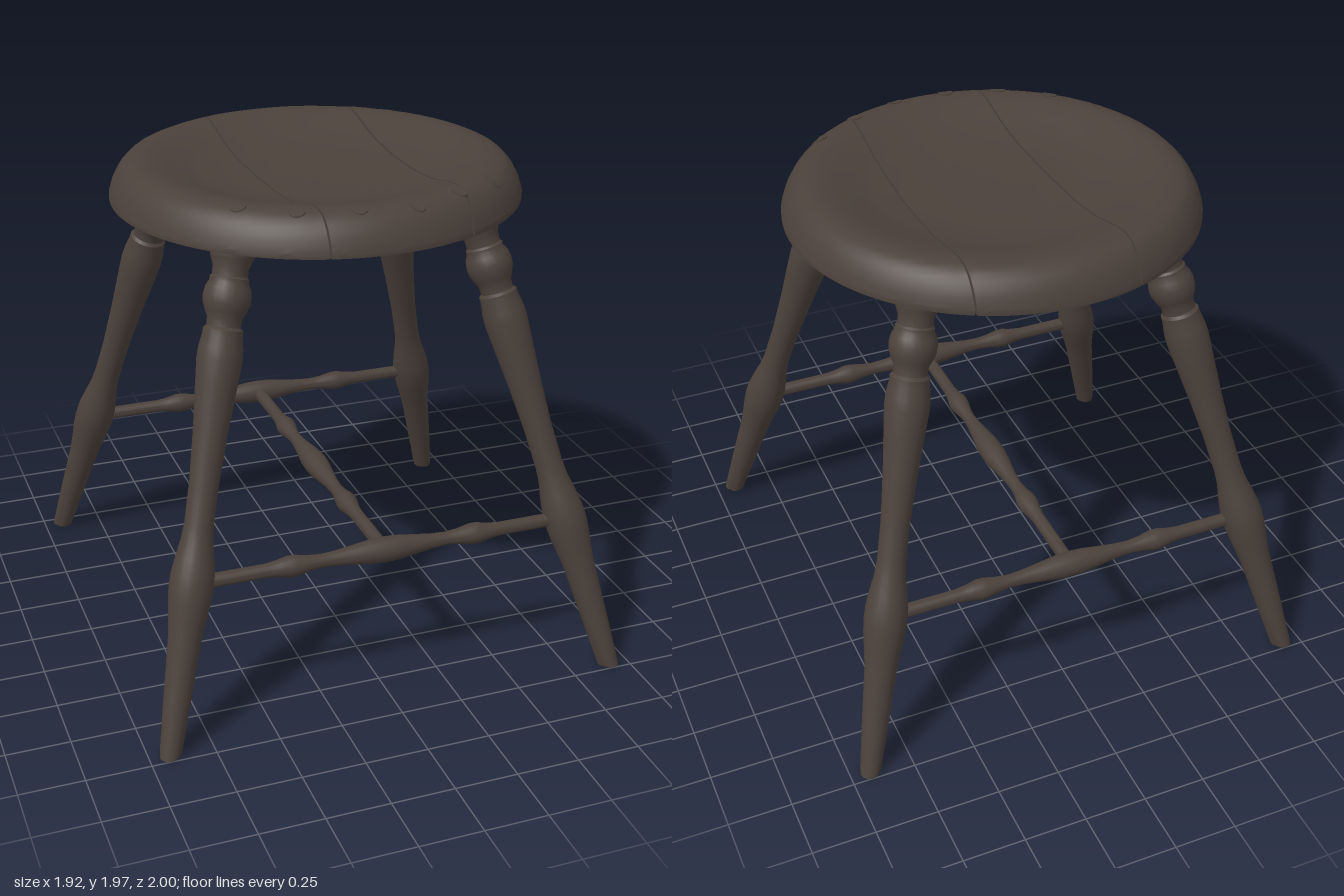
import * as THREE from 'three';
import { toCreasedNormals } from 'three/addons/utils/BufferGeometryUtils.js';

const darkWood = new THREE.MeshStandardMaterial({ color: 0x4b413b });
darkWood.name = 'darkWood';

const R = 0.81; // seat radius

// Seat height by distance from the centre: dished top, rounded rim, bevelled underside
const TOP = [[0, 1.89], [0.2, 1.892], [0.36, 1.9], [0.48, 1.92], [0.56, 1.944], [0.62, 1.961], [0.67, 1.969],
  [0.71, 1.965], [0.745, 1.95], [0.775, 1.918], [0.797, 1.878], [R, 1.838]];
const BOTTOM = [[0, 1.79], [0.58, 1.795], [0.65, 1.81], [R, 1.82]];

function lookUp(profile, r) {
  for (let i = 1; i < profile.length; i++) {
    const [r0, y0] = profile[i - 1], [r1, y1] = profile[i];
    if (r <= r1) return y0 + (y1 - y0) * (r - r0) / (r1 - r0);
  }
  return profile[profile.length - 1][1];
}
const seatY = (profile, x, z) => lookUp(profile, Math.hypot(x, z)) + 0.006 * (x - z);

function makeMesh(name, geometry, crease = 0.6) {
  const mesh = new THREE.Mesh(toCreasedNormals(geometry, crease), darkWood);
  mesh.name = name;
  return mesh;
}

// One seat plank between two nearly straight lines x = c + m * z
function plankGeometry([c0, m0], [c1, m1]) {
  const K = 44, S = 26, positions = [], index = [];
  const a0 = Math.asin(c0 / R), a1 = Math.asin(c1 / R);
  for (let s = 0; s <= S; s++) {
    const t = s / S;
    const c = R * Math.sin(a0 + (a1 - a0) * t), m = m0 + (m1 - m0) * t;
    // where the line meets the rim circle
    const mid = -c * m / (1 + m * m);
    const half = Math.sqrt(Math.max(0, R * R * (1 + m * m) - c * c)) / (1 + m * m);
    for (let j = 0; j < 2 * K; j++) {
      const k = j < K ? j : 2 * K - 1 - j;
      const z = mid + half * Math.sin((k / (K - 1) - 0.5) * Math.PI);
      const x = c + m * z;
      positions.push(x, seatY(j < K ? TOP : BOTTOM, x, z), z);
    }
  }
  const N = 2 * K;
  for (let s = 0; s < S; s++) {
    for (let j = 0; j < N; j++) {
      const a = s * N + j, b = s * N + (j + 1) % N;
      index.push(a, b, a + N, b, b + N, a + N);
    }
  }
  // cut faces along the joints
  for (let j = 0; j < K - 1; j++) {
    const p = j, q = j + 1, u = N - 1 - j, v = N - 2 - j, e = S * N;
    index.push(p, v, q, p, u, v);
    index.push(e + p, e + q, e + v, e + p, e + v, e + u);
  }
  const g = new THREE.BufferGeometry();
  g.setAttribute('position', new THREE.Float32BufferAttribute(positions, 3));
  g.setIndex(index);
  return g;
}

// Peg whose ends follow the seat surface
function pegGeometry(x, z) {
  const g = new THREE.CylinderGeometry(0.031, 0.031, 1, 16);
  const p = g.attributes.position;
  for (let i = 0; i < p.count; i++) {
    const px = p.getX(i) + x, pz = p.getZ(i) + z;
    p.setXYZ(i, px, p.getY(i) > 0 ? seatY(TOP, px, pz) + 0.004 : seatY(BOTTOM, px, pz) - 0.004, pz);
  }
  return g;
}

const lathe = (points, sides) =>
  new THREE.LatheGeometry(points.map(([r, y]) => new THREE.Vector2(r, y)), sides);

// Turned leg: radius and height
const LEG = [[0, -0.02], [0.036, -0.02], [0.041, 0.015], [0.052, 0.2], [0.063, 0.42], [0.07, 0.48], [0.08, 0.55],
  [0.084, 0.6], [0.082, 0.65], [0.072, 0.71], [0.06, 0.77], [0.055, 0.83], [0.056, 0.98], [0.066, 1.16],
  [0.078, 1.31], [0.085, 1.4], [0.083, 1.44], [0.075, 1.485], [0.075, 1.505], [0.064, 1.515], [0.065, 1.545],
  [0.076, 1.565], [0.088, 1.595], [0.09, 1.62], [0.084, 1.65], [0.073, 1.668], [0.073, 1.682], [0.066, 1.69],
  [0.067, 1.72], [0.079, 1.75], [0.083, 1.76], [0.083, 1.85], [0, 1.85]];

function legGeometry(sx, sz) {
  const dir = new THREE.Vector3(-0.44 * sx, 1.8, -0.5 * sz);
  const stretch = dir.length() / 1.8;
  const g = lathe(LEG, 24);
  g.scale(1, stretch, 1);
  g.applyQuaternion(new THREE.Quaternion().setFromUnitVectors(new THREE.Vector3(0, 1, 0), dir.normalize()));
  g.translate(0.92 * sx, 0, 0.96 * sz);
  // level the foot on the floor
  const p = g.attributes.position;
  for (let i = 0; i < p.count; i++) if (p.getY(i) < 0.012) p.setY(i, 0);
  return g;
}

// Turned stretcher, half profile mirrored about its middle
const HALF = [[0.05, 0], [0.048, 0.05], [0.039, 0.12], [0.029, 0.2], [0.026, 0.26], [0.031, 0.31], [0.041, 0.36],
  [0.042, 0.39], [0.033, 0.43], [0.027, 0.48], [0.027, 0.77]];
const STRETCHER = [...HALF.slice(1).reverse().map(([r, y]) => [r, -y]), ...HALF];

export function createModel() {
  const model = new THREE.Group();
  model.name = 'stool';

  // Seat of three planks with thin gaps
  const seat = new THREE.Group();
  seat.name = 'seat';
  const gap = 0.0035;
  const joints = [[-0.238, 0.022], [0.358, -0.01]];
  const shifted = ([c, m], d) => [c + d, m];
  seat.add(
    makeMesh('rightPlank', plankGeometry([-0.8095, 0], shifted(joints[0], -gap))),
    makeMesh('middlePlank', plankGeometry(shifted(joints[0], gap), shifted(joints[1], -gap))),
    makeMesh('leftPlank', plankGeometry(shifted(joints[1], gap), [0.8095, 0])));

  // Pegs along the front rim
  for (const [x, z] of [[-0.48, 0.52], [-0.3, 0.645], [-0.085, 0.7], [0.135, 0.71], [0.335, 0.63], [0.52, 0.52]]) {
    seat.add(makeMesh('peg', pegGeometry(x, z)));
  }
  model.add(seat);

  // Four splayed legs
  for (const sz of [1, -1]) {
    for (const sx of [1, -1]) {
      model.add(makeMesh((sz > 0 ? 'front' : 'back') + (sx > 0 ? 'Left' : 'Right') + 'Leg', legGeometry(sx, sz)));
    }
  }

  // Stretchers in an H
  for (const [name, z] of [['frontStretcher', 0.785], ['backStretcher', -0.785]]) {
    const stretcher = makeMesh(name, lathe(STRETCHER, 20));
    stretcher.rotation.z = Math.PI / 2;
    stretcher.position.set(0, 0.61, z);
    model.add(stretcher);
  }
  const middle = makeMesh('middleStretcher', lathe(STRETCHER, 20));
  middle.rotation.x = Math.PI / 2;
  middle.position.y = 0.61;
  model.add(middle);

  return model;
}
